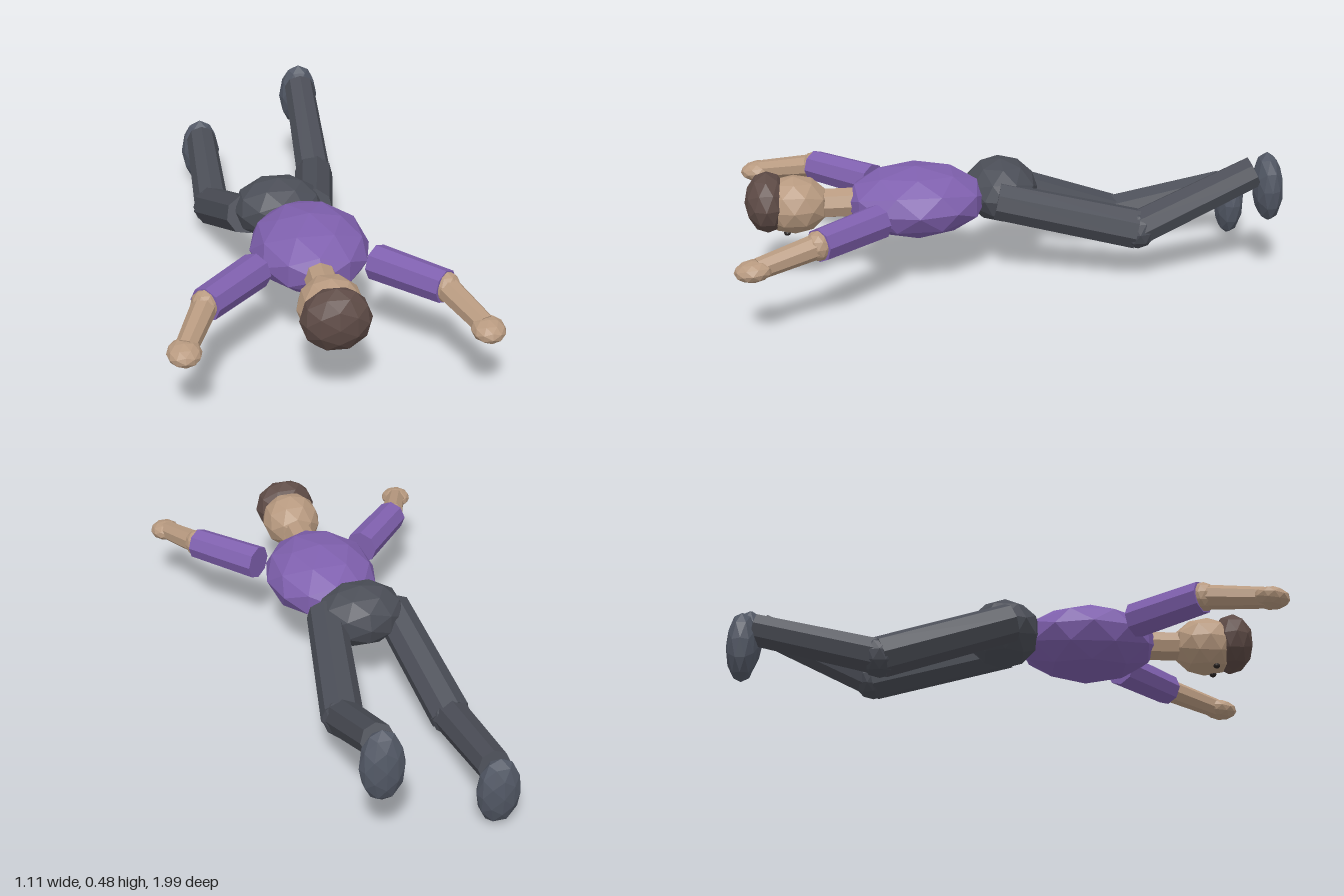
import * as THREE from 'three';

const material = (name, color) => {
  const m = new THREE.MeshStandardMaterial({ color, flatShading: true });
  m.name = name;
  return m;
};

export function createModel() {
  const model = new THREE.Group();
  model.name = 'proneFigure';
  const shirt = material('purple shirt', 0x7f60ae);
  const skin = material('skin', 0xb89a80);
  const trousers = material('dark trousers', 0x4b4e57);
  const shoes = material('grey shoes', 0x525865);
  const hair = material('brown hair', 0x5e4b46);
  const eyes = material('dark eyes', 0x2a2422);

  const add = (name, geometry, mat, position) => {
    const mesh = new THREE.Mesh(geometry, mat);
    mesh.name = name;
    mesh.position.set(...position);
    model.add(mesh);
    return mesh;
  };

  // Faceted ellipsoid
  const blob = (name, mat, position, radii) =>
    add(name, new THREE.IcosahedronGeometry(1, 1).scale(...radii), mat, position);

  // Eight-sided limb between two points
  const limb = (name, mat, from, to, r0, r1) => {
    const a = new THREE.Vector3(...from);
    const d = new THREE.Vector3(...to).sub(a);
    const mid = a.clone().addScaledVector(d, 0.5);
    const mesh = add(name, new THREE.CylinderGeometry(r1, r0, d.length(), 8), mat, mid.toArray());
    mesh.quaternion.setFromUnitVectors(new THREE.Vector3(0, 1, 0), d.normalize());
    return mesh;
  };

  // Trunk and head, face turned down
  blob('torso', shirt, [0, 0.305, 0.345], [0.213, 0.13, 0.265]);
  blob('pelvis', trousers, [-0.065, 0.308, 0.025], [0.168, 0.118, 0.14]);
  limb('neck', skin, [0, 0.305, 0.57], [0, 0.305, 0.7], 0.056, 0.056);
  blob('head', skin, [0, 0.307, 0.79], [0.115, 0.108, 0.13]);
  blob('hair', hair, [0, 0.32, 0.888], [0.121, 0.112, 0.082]);

  for (const s of [1, -1]) {
    const side = s > 0 ? 'left' : 'right';
    blob(side + 'Eye', eyes, [s * 0.04, 0.211, 0.82], [0.013, 0.01, 0.013]);

    // Arms reaching forward and outward
    const elbow = [s * 0.406, 0.307, 0.71];
    const wrist = [s * 0.49, 0.268, 0.915];
    limb(side + 'UpperArm', shirt, [s * 0.21, 0.305, 0.495], elbow, 0.065, 0.06);
    blob(side + 'Elbow', skin, elbow, [0.05, 0.055, 0.05]);
    limb(side + 'Forearm', skin, elbow, wrist, 0.045, 0.038);
    const hand = blob(side + 'Hand', skin, [s * 0.496, 0.264, 0.932], [0.058, 0.037, 0.067]);
    hand.rotation.x = 0.1;
  }

  // Legs with the shins raised to different heights
  const legs = [
    { side: 'left', hip: [0.062, 0.307, 0.05], knee: [0.147, 0.205, -0.455],
      ankle: [0.154, 0.412, -0.885], foot: [0.156, 0.352, -0.938] },
    { side: 'right', hip: [-0.19, 0.295, 0.045], knee: [-0.267, 0.108, -0.425],
      ankle: [-0.262, 0.205, -0.872], foot: [-0.264, 0.135, -0.911] },
  ];
  for (const { side, hip, knee, ankle, foot } of legs) {
    limb(side + 'Thigh', trousers, hip, knee, 0.072, 0.076);
    blob(side + 'Knee', trousers, knee, [0.074, 0.074, 0.074]);
    limb(side + 'Shin', trousers, knee, ankle, 0.068, 0.06);
    const shoe = blob(side + 'Foot', shoes, foot, [0.079, 0.134, 0.056]);
    shoe.rotation.x = side === 'left' ? 0.06 : -0.03;
  }
  return model;
}
